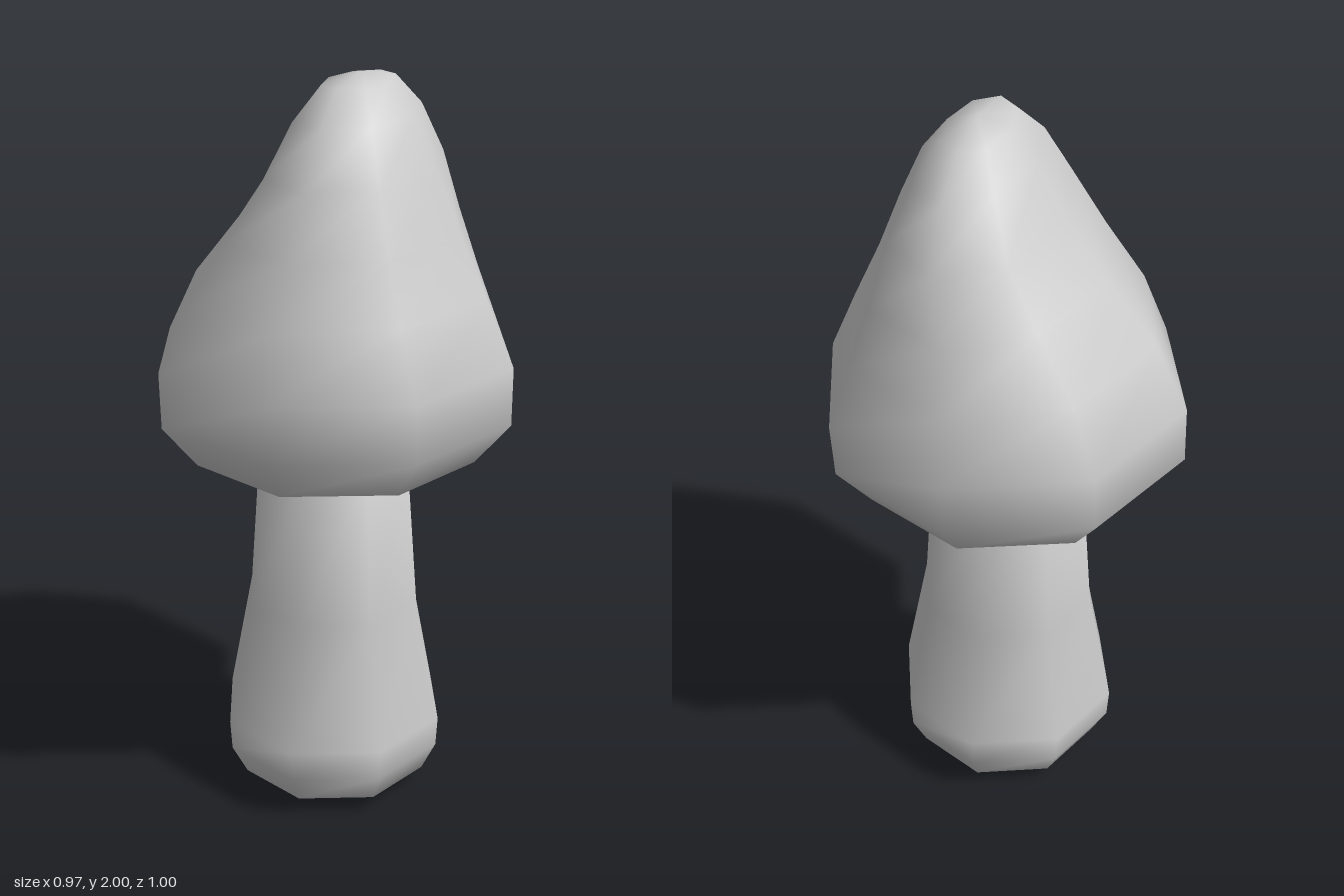
import * as THREE from 'three';

const SIDES = 8;

// Smooth loft through eight-sided rings, listed from bottom to top.
// Each ring is [y, left edge x, right edge x, half depth]; both ends close on a point.
function loft(name, rings, bottom, top) {
  const pos = [];
  const index = [];
  for (const [y, x0, x1, depth] of rings) {
    for (let i = 0; i < SIDES; i++) {
      const a = (i / SIDES) * Math.PI * 2;
      pos.push((x0 + x1) / 2 + Math.cos(a) * (x1 - x0) / 2, y, Math.sin(a) * depth);
    }
  }
  const low = rings.length * SIDES;
  const high = low + 1;
  pos.push(...bottom, ...top);
  const last = (rings.length - 1) * SIDES;
  for (let i = 0; i < SIDES; i++) {
    const j = (i + 1) % SIDES;
    for (let r = 0; r < last; r += SIDES) {
      index.push(r + i, r + SIDES + i, r + j, r + j, r + SIDES + i, r + SIDES + j);
    }
    index.push(low, i, j, high, last + j, last + i);
  }
  const geometry = new THREE.BufferGeometry();
  geometry.setAttribute('position', new THREE.Float32BufferAttribute(pos, 3));
  geometry.setIndex(index);
  geometry.computeVertexNormals();
  const mesh = new THREE.Mesh(geometry, new THREE.MeshStandardMaterial({ color: 0xcccccc }));
  mesh.name = name;
  return mesh;
}

export function createModel() {
  const group = new THREE.Group();
  group.name = 'mushroom';

  // Stem with a swollen, rounded foot
  group.add(loft('stem', [
    [0.02, -0.2, 0.19, 0.2],
    [0.05, -0.27, 0.265, 0.27],
    [0.135, -0.315, 0.305, 0.31],
    [0.22, -0.32, 0.31, 0.315],
    [0.57, -0.25, 0.24, 0.245],
    [0.96, -0.22, 0.21, 0.22],
  ], [0, 0, 0], [0, 0.97, 0]));

  // Cap whose tip narrows to a ridge leaning towards +x
  group.add(loft('cap', [
    [0.945, -0.22, 0.22, 0.23],
    [1.01, -0.39, 0.39, 0.39],
    [1.125, -0.485, 0.485, 0.48],
    [1.28, -0.48, 0.485, 0.5],
    [1.45, -0.395, 0.41, 0.455],
    [1.61, -0.265, 0.335, 0.405],
    [1.77, -0.15, 0.27, 0.355],
    [1.9, -0.08, 0.21, 0.265],
    [1.98, -0.015, 0.145, 0.16],
  ], [0, 0.945, 0], [0.07, 2, 0]));

  return group;
}
